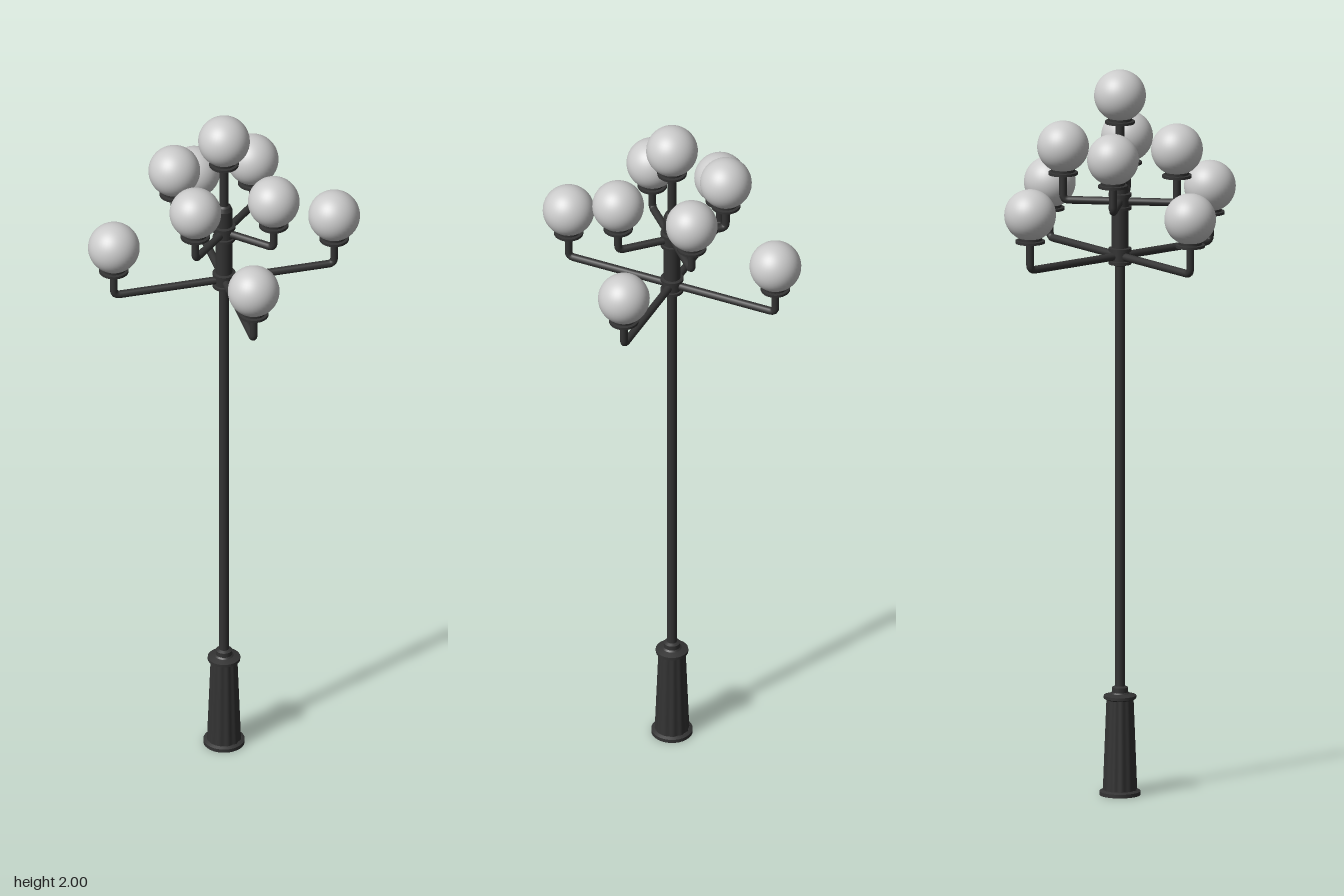
import * as THREE from 'three';

const metal = new THREE.MeshStandardMaterial({ color: 0x333333 });
const glass = new THREE.MeshStandardMaterial({ color: 0xcccccc });
const V = (x, y) => new THREE.Vector3(x, y, 0);

function add(parent, name, geometry, material = metal) {
  const mesh = new THREE.Mesh(geometry, material);
  mesh.name = name;
  parent.add(mesh);
  return mesh;
}

// Turned part; every profile corner stays sharp because each band is its own cylinder
function turned(parent, name, profile, segments = 32) {
  const group = new THREE.Group();
  group.name = name;
  parent.add(group);
  for (let i = 0; i < profile.length - 1; i++) {
    const [r0, y0] = profile[i], [r1, y1] = profile[i + 1];
    const pts = [new THREE.Vector2(r0, y0), new THREE.Vector2(r1, y1)];
    add(group, name + 'Band', new THREE.LatheGeometry(pts, segments));
  }
  return group;
}

// Globe on its holder plate; y is the globe's centre
function lamp(parent, x, y) {
  const group = new THREE.Group();
  group.name = 'lamp';
  group.position.set(x, y, 0);
  parent.add(group);
  add(group, 'globe', new THREE.SphereGeometry(0.07, 40, 28), glass);
  turned(group, 'globeHolder', [
    [0, -0.077], [0.04, -0.077], [0.04, -0.07], [0.032, -0.069], [0.032, -0.06], [0, -0.06],
  ]);
}

// Horizontal arm with a rounded elbow rising to a lamp
function arm(parent, angle, reach, y, globeY) {
  const group = new THREE.Group();
  group.name = 'lampArm';
  group.rotation.y = angle;
  parent.add(group);
  const bend = 0.016;
  const path = new THREE.CurvePath();
  path.add(new THREE.LineCurve3(V(0, y), V(reach - bend, y)));
  path.add(new THREE.QuadraticBezierCurve3(V(reach - bend, y), V(reach, y), V(reach, y + bend)));
  path.add(new THREE.LineCurve3(V(reach, y + bend), V(reach, globeY - 0.072)));
  add(group, 'armTube', new THREE.TubeGeometry(path, 64, 0.0105, 14));
  lamp(group, reach, globeY);
}

// Tapered pedestal with shallow vertical flutes
function flutedBody() {
  const geometry = new THREE.CylinderGeometry(0.037, 0.047, 0.255, 96, 1, true);
  const pos = geometry.attributes.position;
  for (let i = 0; i < pos.count; i++) {
    const a = Math.atan2(pos.getZ(i), pos.getX(i));
    const k = 1 - 0.05 * (0.5 + 0.5 * Math.cos(a * 12));
    pos.setX(i, pos.getX(i) * k);
    pos.setZ(i, pos.getZ(i) * k);
  }
  geometry.computeVertexNormals();
  return geometry.translate(0, 0.1375, 0);
}

export function createModel() {
  const model = new THREE.Group();
  model.name = 'streetLamp';

  // Base
  turned(model, 'footPlate', [[0, 0], [0.056, 0], [0.056, 0.01], [0.047, 0.014], [0, 0.014]]);
  add(model, 'pedestal', flutedBody());
  turned(model, 'pedestalCap', [
    [0, 0.262], [0.036, 0.262], [0.044, 0.266], [0.044, 0.274], [0.026, 0.279],
    [0.022, 0.283], [0.022, 0.296], [0.0135, 0.3],
  ]);

  // Pole and the thicker sleeve carrying the arms
  turned(model, 'pole', [[0.0135, 0.27], [0.0135, 1.47]]);
  turned(model, 'armSleeve', [
    [0.0135, 1.46], [0.023, 1.464], [0.023, 1.71], [0.018, 1.722], [0.0125, 1.726], [0.0125, 1.86],
  ]);

  // Ring collars above and below each level of arms
  for (const y of [1.487, 1.638]) {
    for (const dy of [-0.018, 0.018]) {
      turned(model, 'collarRing', [
        [0.022, y + dy - 0.006], [0.031, y + dy - 0.004], [0.031, y + dy + 0.004], [0.022, y + dy + 0.006],
      ]);
    }
    const hub = add(model, 'armHub', new THREE.CylinderGeometry(0.026, 0.026, 0.03, 32));
    hub.position.y = y;
  }

  // Four diagonal lower arms, four straight upper arms, one lamp on top
  for (let i = 0; i < 4; i++) {
    const a = i * Math.PI / 2;
    arm(model, a + Math.PI / 4, 0.308, 1.487, 1.64);
    arm(model, a, 0.155, 1.638, 1.785);
  }
  lamp(model, 0, 1.93);

  return model;
}
